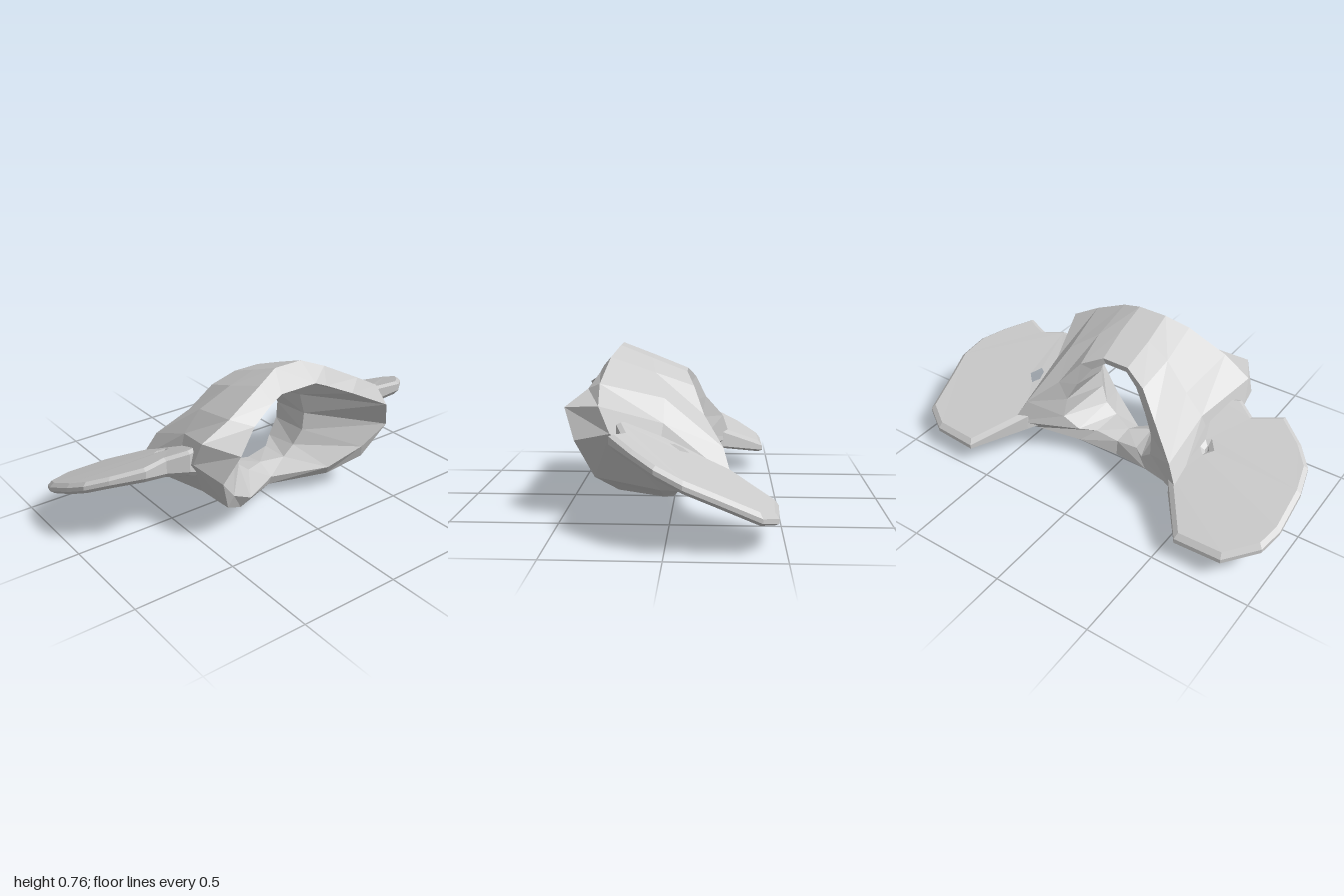
import * as THREE from 'three';

const bone = new THREE.MeshStandardMaterial({ color: 0xcccccc, flatShading: true });
bone.name = 'boneGrey';

// Half ring from top to bottom: each section runs outer back, outer middle,
// outer front, front rim, inner neck, inner back.
const SECTIONS = [
  [[0.07, .64, -.065], [.08, .705, .1], [.075, .765, .255], [.1, .67, .335], [.06, .64, .12], [.06, .61, -.06]],
  [[.18, .585, -.1], [.2, .65, .08], [.19, .72, .29], [.16, .645, .345], [.13, .61, .12], [.13, .56, -.08]],
  [[.28, .465, -.15], [.34, .55, .03], [.38, .62, .32], [.29, .585, .385], [.19, .51, .12], [.2, .46, -.11]],
  [[.42, .34, -.24], [.43, .45, .03], [.52, .54, .31], [.43, .52, .475], [.22, .4, .12], [.25, .36, -.13]],
  [[.49, .21, -.28], [.48, .31, .05], [.535, .42, .26], [.49, .38, .425], [.21, .31, .12], [.26, .26, -.15]],
  [[.42, .13, -.17], [.35, .12, .05], [.41, .195, .345], [.39, .26, .365], [.17, .23, .1], [.19, .19, -.12]],
  [[.2, .1, -.1], [.22, .055, .04], [.27, .1, .25], [.24, .16, .29], [.11, .18, .1], [.12, .17, -.06]],
];
const BOTTOM = [[0, .07, -.06], [0, 0, .005], [0, .07, .12], [0, .12, .14], [0, .165, .05], [0, .15, -.05]];

function flatGeometry(positions, index) {
  const g = new THREE.BufferGeometry();
  g.setAttribute('position', new THREE.Float32BufferAttribute(positions, 3));
  g.setIndex(index);
  const flat = g.toNonIndexed();
  flat.computeVertexNormals();
  return flat;
}

// Closed tube of sections around the central opening
function ringGeometry() {
  const mirrored = SECTIONS.map(s => s.map(([x, y, z]) => [-x, y, z])).reverse();
  const loop = [...SECTIONS, BOTTOM, ...mirrored];
  const n = loop.length, m = BOTTOM.length, index = [];
  for (let i = 0; i < n; i++) {
    for (let j = 0; j < m; j++) {
      const i2 = (i + 1) % n, j2 = (j + 1) % m;
      const a = i * m + j, b = i * m + j2, c = i2 * m + j, d = i2 * m + j2;
      // flip the diagonal on the mirrored half so both sides match
      if (i < SECTIONS.length) index.push(a, b, c, b, d, c);
      else index.push(a, b, d, a, d, c);
    }
  }
  return flatGeometry(loop.flat(2), index);
}

// Sloping side plates, each pierced by a small opening near the ring
const ROOT = [[.53, .21], [.42, .18], [.36, -.1], [.44, -.235]];
const LEFT_OUTLINE = [...ROOT, [.62, -.46], [.83, -.45], [.935, -.385], [.96, -.2],
  [.98, -.08], [.945, .03], [.86, .125], [.755, .215], [.65, .175]];
const RIGHT_OUTLINE = [...ROOT, [.6, -.44], [.82, -.435], [.95, -.33], [.98, -.24],
  [.98, -.06], [.955, .05], [.88, .13], [.76, .215], [.62, .155]];
const OPENING = [[.48, -.06], [.51, -.09], [.55, -.05], [.51, -.005], [.485, -.02]];

function wingGeometry(side, outline) {
  const points = list => list.map(([x, z]) => new THREE.Vector2(side * x, -z));
  const shape = new THREE.Shape(points(outline));
  shape.holes.push(new THREE.Path(points(OPENING)));
  const g = new THREE.ExtrudeGeometry(shape, {
    depth: .02, bevelEnabled: true, bevelThickness: .018, bevelSize: .02, bevelSegments: 1,
  });
  g.rotateX(-Math.PI / 2);
  const p = g.attributes.position;
  for (let i = 0; i < p.count; i++) {
    const x = Math.abs(p.getX(i)), z = p.getZ(i), y = p.getY(i) - .01;
    // thicken toward the ring, mostly below, fading out at the back edge
    const root = (Math.max(0, .95 - x) / .6) ** 2 * THREE.MathUtils.clamp(1 + z * 2, 0, 1);
    p.setY(i, y + .335 + .45 * z + root * (y > 0 ? .025 : -.12));
  }
  g.computeVertexNormals();
  return g;
}

export function createModel() {
  const group = new THREE.Group();
  group.name = 'vertebra';
  const add = (name, geometry) => {
    const mesh = new THREE.Mesh(geometry, bone);
    mesh.name = name;
    group.add(mesh);
  };
  add('ring', ringGeometry());
  add('leftWing', wingGeometry(1, LEFT_OUTLINE));
  add('rightWing', wingGeometry(-1, RIGHT_OUTLINE));
  return group;
}
